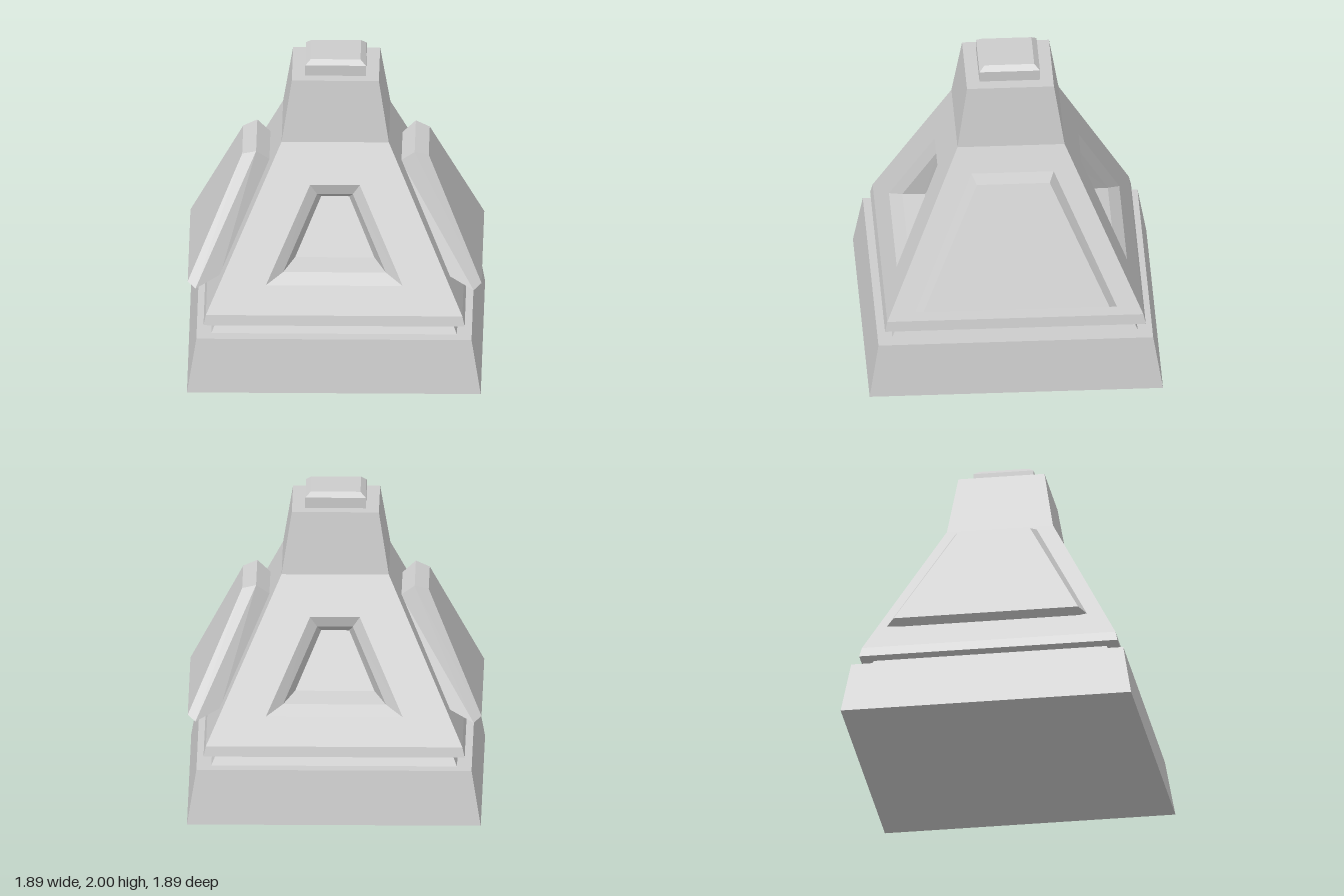
import * as THREE from 'three';

const stone = new THREE.MeshStandardMaterial({ color: 0xcccccc });
stone.name = 'pale grey';

// Square ring of half-width h at height y, counter-clockwise from above
const square = (h, y) => [[-h, y, h], [h, y, h], [h, y, -h], [-h, y, -h]];

// Upright trapezoid facing +z: half-width, height and depth of its lower and upper edge
const trapezoid = ([w0, y0, z0], [w1, y1, z1]) =>
  [[-w0, y0, z0], [w0, y0, z0], [w1, y1, z1], [-w1, y1, z1]];

// Joins four-cornered loops with flat faces and optionally closes the ends
function loft(name, loops, { start = false, end = false } = {}) {
  const pos = [];
  const quad = (a, b, c, d) => pos.push(...a, ...b, ...c, ...a, ...c, ...d);
  for (let k = 0; k + 1 < loops.length; k++) {
    for (let i = 0; i < 4; i++) {
      const j = (i + 1) % 4;
      quad(loops[k][i], loops[k][j], loops[k + 1][j], loops[k + 1][i]);
    }
  }
  if (start) quad(...[...loops[0]].reverse());
  if (end) quad(...loops[loops.length - 1]);
  const geometry = new THREE.BufferGeometry();
  geometry.setAttribute('position', new THREE.Float32BufferAttribute(pos, 3));
  geometry.computeVertexNormals();
  const mesh = new THREE.Mesh(geometry, stone);
  mesh.name = name;
  return mesh;
}

export function createModel() {
  const model = new THREE.Group();
  model.name = 'steppedPyramid';

  // Stacked square tiers
  model.add(
    loft('base', [square(0.945, 0), square(0.885, 0.35)], { start: true, end: true }),
    loft('neck', [square(0.79, 0.35), square(0.755, 0.43)]),
    loft('bodySkirt', [square(0.84, 0.425), square(0.825, 0.49)], { start: true }),
    loft('crown', [square(0.345, 1.5), square(0.28, 1.9)], { end: true }),
    loft('cap', [square(0.195, 1.9), square(0.195, 1.97), square(0.16, 2)], { end: true })
  );

  // Sloping body wall
  const wall = trapezoid([0.825, 0.49, 0.825], [0.345, 1.5, 0.345]);
  const wallZ = (y) => 0.825 - (y - 0.49) * (0.48 / 1.01);

  // Front and back walls, each with a bevelled opening and a deep niche
  for (const [side, turn] of [['front', 0], ['back', Math.PI]]) {
    const niche = loft(side + 'WallWithNiche', [
      wall,
      trapezoid([0.44, 0.665, wallZ(0.665)], [0.16, 1.25, wallZ(1.25)]),
      trapezoid([0.33, 0.725, 0.662], [0.115, 1.18, 0.446]),
      trapezoid([0.255, 0.77, 0.52], [0.09, 1.125, 0.35]),
    ], { end: true });
    niche.rotation.y = turn;
    model.add(niche);
  }

  // Left and right walls, each with a raised bevelled panel
  for (const [side, turn] of [['left', Math.PI / 2], ['right', -Math.PI / 2]]) {
    const group = new THREE.Group();
    group.name = side + 'Side';
    group.add(
      loft(side + 'Wall', [wall], { end: true }),
      loft(side + 'Panel', [
        trapezoid([0.57, 0.667, 0.735], [0.23, 1.328, 0.42]),
        trapezoid([0.65, 0.6, 0.895], [0.265, 1.4, 0.51]),
        trapezoid([0.6, 0.63, 0.945], [0.235, 1.37, 0.6]),
      ], { end: true })
    );
    group.rotation.y = turn;
    model.add(group);
  }

  return model;
}
